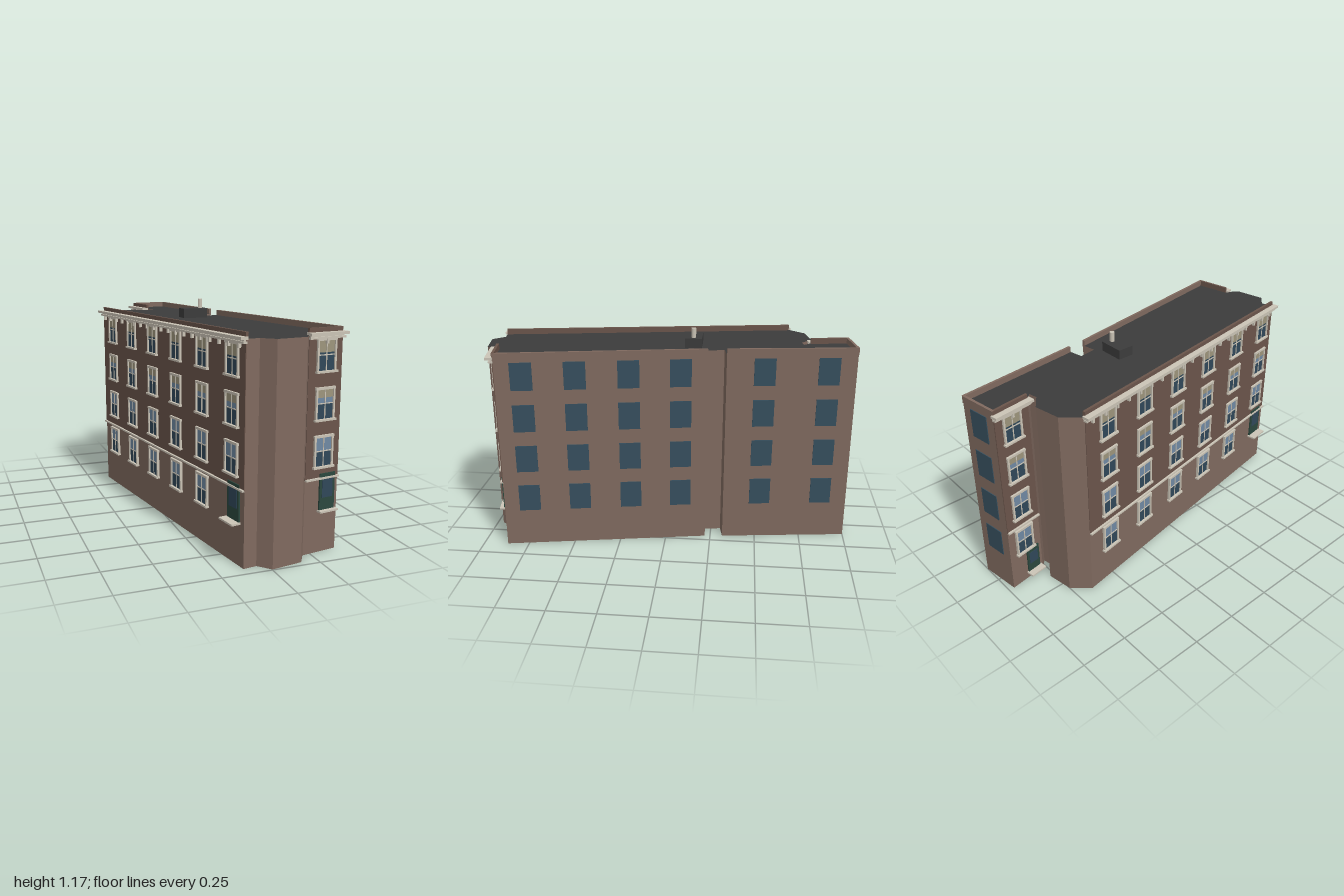
import * as THREE from 'three';

const mat = (name, color) => Object.assign(new THREE.MeshStandardMaterial({ color }), { name });
const M = {
  brick: mat('brick', 0x806a5f),
  darkBrick: mat('dark brick', 0x6b554b),
  roof: mat('roof', 0x3c3c3c),
  stone: mat('stone trim', 0xcbc4b6),
  sideGlass: mat('side glass', 0x364f5e),
  darkGlass: mat('dark glass', 0x304859),
  skyGlass: mat('sky glass', 0x7089a3),
  blind: mat('blind', 0x9d957c),
  door: mat('door green', 0x2b483e),
};

const ROOF = 1.066, PARAPET = 1.096, BELT = 0.375;

// Outline of the building as [x, z], walked so the outside is on local +z of each wall
const PLAN = [
  [-0.38, -0.66], [-0.122, 0.945], [-0.053, 0.935], [0.003, 0.995], [0.165, 0.967], [0.207, 0.9],
  [0.4, 0.867], [0.205, -0.22], [0.125, -0.208], [0.11, -0.303], [0.195, -0.318], [0.11, -1],
  [-0.105, -0.97], [-0.075, -0.765], [-0.04, -0.73], [-0.085, -0.72], [-0.16, -0.775], [-0.3, -0.75],
];
const FLOORS = [0.28, 0.51, 0.74, 0.969];   // window centre heights

function box(parent, name, material, x, y, z, w, h, d) {
  const m = new THREE.Mesh(new THREE.BoxGeometry(w, h, d), material);
  m.name = name;
  m.position.set(x, y, z);
  parent.add(m);
  return m;
}

// Plate or bar standing out from a wall: u along the wall, y range, depth range
function bar(parent, name, material, u, y0, y1, w, z1, z0 = -0.002) {
  return box(parent, name, material, u, (y0 + y1) / 2, (z0 + z1) / 2, w, y1 - y0, z1 - z0);
}

// Group whose local x runs along wall i and whose local z points outward
function wallFrame(root, name, i) {
  const a = PLAN[i], b = PLAN[(i + 1) % PLAN.length];
  const dx = b[0] - a[0], dz = b[1] - a[1];
  const g = new THREE.Group();
  g.name = name;
  g.position.set(a[0], 0, a[1]);
  g.rotation.y = Math.atan2(-dz, dx);
  g.userData.length = Math.hypot(dx, dz);
  root.add(g);
  return g;
}

function parapet(g, material) {
  const L = g.userData.length;
  box(g, 'parapet', material, L / 2, (PARAPET + 1.058) / 2, -0.004, L, PARAPET - 1.058, 0.014);
}

// Sash window with stone casing, sill and glazing bars
function sashWindow(wall, u, floor) {
  const g = new THREE.Group();
  g.name = 'sashWindow';
  g.position.set(u, FLOORS[floor], 0);
  wall.add(g);
  const h = 0.077, w = 0.112, edge = 0.01;
  const split = floor === 3 ? 0.012 : 0.003;
  bar(g, 'lowerPane', M.darkGlass, 0, -h, split, w - edge, 0.006);
  if (floor === 3) bar(g, 'blind', M.blind, 0, split, h, w - edge, 0.006);
  else if (floor === 2) {
    bar(g, 'upperPane', M.skyGlass, 0, split, 0.028, w - edge, 0.006);
    bar(g, 'blind', M.blind, 0, 0.028, h, w - edge, 0.006);
  } else bar(g, 'upperPane', M.skyGlass, 0, split, h, w - edge, 0.006);
  for (const s of [-1, 1]) bar(g, 'jamb', M.stone, s * (w - edge) / 2, -h, h, edge, 0.013);
  bar(g, 'head', M.stone, 0, h - edge, h + 0.002, w + 0.004, 0.014);
  bar(g, 'sill', M.stone, 0, -h - 0.006, -h + 0.004, w + 0.012, 0.02);
  bar(g, 'mullion', M.stone, 0, -h, h, 0.005, 0.009);
  bar(g, 'meetingRail', M.stone, 0, -0.002, 0.003, w - edge, 0.009);
}

// Green panelled door with glass and a stone step
function door(g, u, y0, y1, w, step) {
  bar(g, 'door', M.door, u, y0, y1, w, 0.008);
  bar(g, 'doorGlass', M.darkGlass, u, y0 + (y1 - y0) * 0.35, y1 - 0.025, w * 0.7, 0.01);
  bar(g, 'doorStep', M.stone, u, y0 - 0.005, y0 + 0.004, w + 0.016, step);
}

// Dark brick face with belt course, bracketed cornice and parapet
function facade(g, brackets) {
  const L = g.userData.length;
  bar(g, 'upperFacing', M.darkBrick, L / 2, BELT, 1.06, L, 0.003);
  bar(g, 'beltCourse', M.stone, L / 2, BELT - 0.004, BELT + 0.005, L, 0.014);
  bar(g, 'corniceLower', M.stone, L / 2, 1.045, 1.055, L + 0.012, 0.02);
  bar(g, 'corniceMiddle', M.stone, L / 2, 1.055, 1.063, L, 0.012);
  bar(g, 'corniceTop', M.stone, L / 2, 1.063, 1.076, L + 0.024, 0.036);
  for (let i = 0; i < brackets; i++)
    bar(g, 'bracket', M.stone, L * (i + 0.5) / brackets, 1.022, 1.046, 0.012, 0.018);
  parapet(g, M.darkBrick);
}

export function createModel() {
  const root = new THREE.Group();
  root.name = 'apartmentBuilding';

  // Main block
  const shape = new THREE.Shape(PLAN.map(([x, z]) => new THREE.Vector2(x, -z)));
  const geo = new THREE.ExtrudeGeometry(shape, { depth: ROOF, bevelEnabled: false });
  geo.rotateX(-Math.PI / 2);
  const body = new THREE.Mesh(geo, [M.roof, M.brick]);
  body.name = 'mainBlock';
  root.add(body);

  // Long street face
  const street = wallFrame(root, 'streetWall', 0);
  facade(street, 19);
  for (let c = 0; c < 6; c++)
    for (let f = 0; f < 4; f++)
      if (c < 5 || f > 0) sashWindow(street, 0.15 + c * 0.274, f);
  door(street, 1.54, 0.212, 0.395, 0.1, 0.05);

  // Short front face
  const front = wallFrame(root, 'frontWall', 5);
  facade(front, 1);
  for (let f = 1; f < 4; f++) sashWindow(front, 0.1, f);
  door(front, 0.131, 0.212, 0.398, 0.09, 0.03);

  // Rear wing face
  const wing = wallFrame(root, 'wingWall', 12);
  facade(wing, 1);
  for (let f = 0; f < 4; f++) sashWindow(wing, 0.1, f);
  door(wing, 0.145, 0.04, 0.19, 0.08, 0.045);

  // Plain faces with flat windows, placed by distance along the wall
  const plain = [
    ['sideWall', 6, [0.138, 0.412, 0.69, 0.963]],
    ['rearSideWall', 10, [0.202, 0.541]],
    ['backWall', 11, [0.108]],
  ];
  for (const [name, i, spots] of plain) {
    const g = wallFrame(root, name, i);
    parapet(g, M.brick);
    for (const u of spots)
      for (const y of FLOORS) bar(g, 'sideWindow', M.sideGlass, u, y - 0.075, y + 0.075, 0.114, 0.004);
  }

  // Rooftop housing and vent pipe
  box(root, 'roofHousing', M.roof, 0.018, 1.09, -0.135, 0.14, 0.056, 0.09);
  const pipe = new THREE.Mesh(new THREE.CylinderGeometry(0.013, 0.013, 0.055, 8), M.stone);
  pipe.name = 'ventPipe';
  pipe.position.set(0.06, 1.1425, -0.135);
  root.add(pipe);

  return root;
}
